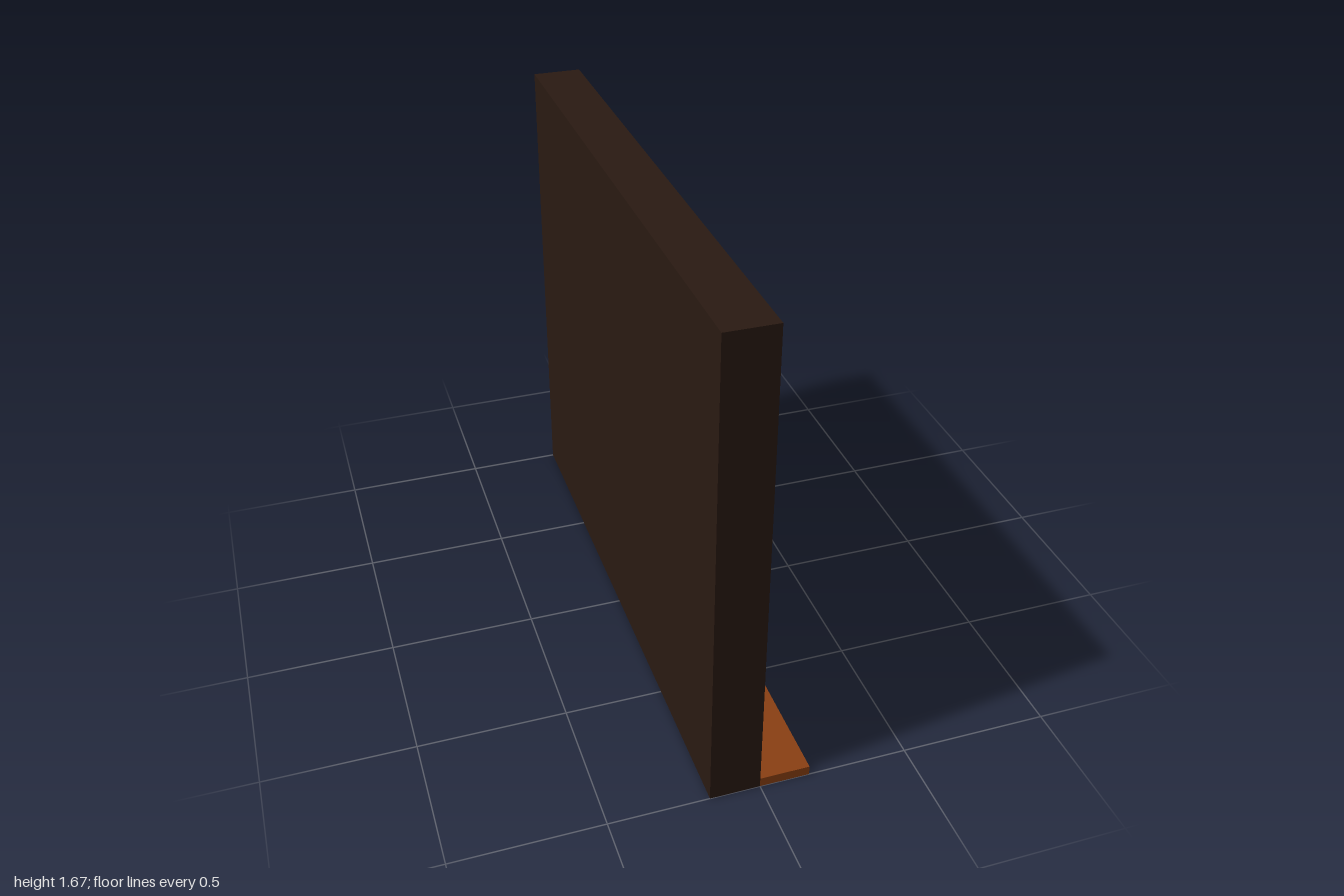
import * as THREE from 'three';

const mat = (color) => new THREE.MeshStandardMaterial({ color });

// rectangle corners in the wall plane, u = -z
const corners = (u0, u1, y0, y1) => [[u0, y0], [u1, y0], [u1, y1], [u0, y1]].map(([u, y]) => new THREE.Vector2(u, y));

// rectangular plate with a rectangular hole, running from x0 to x1
function ring(name, outer, inner, x0, x1, material) {
  const shape = new THREE.Shape(corners(...outer));
  shape.holes.push(new THREE.Path(corners(...inner).reverse()));
  const geo = new THREE.ExtrudeGeometry(shape, { depth: x1 - x0, bevelEnabled: false });
  geo.translate(0, 0, x0).rotateY(Math.PI / 2);
  const mesh = new THREE.Mesh(geo, material);
  mesh.name = name;
  return mesh;
}

function box(name, x0, x1, y0, y1, z0, z1, material) {
  const mesh = new THREE.Mesh(new THREE.BoxGeometry(x1 - x0, y1 - y0, z1 - z0), material);
  mesh.position.set((x0 + x1) / 2, (y0 + y1) / 2, (z0 + z1) / 2);
  mesh.name = name;
  return mesh;
}

export function createModel() {
  const group = new THREE.Group();
  group.name = 'wallWithWindow';
  const dark = mat(0x2a1a12), wood = mat(0x8b4013), glass = mat(0x1a1a1a);

  const back = -0.167, pane = -0.134, top = 1.667;
  const frame = [-0.417, 0.422, 0.35, 1.317];
  const opening = [-0.337, 0.337, 0.417, 1.255];

  group.add(
    // wall: solid back panel and a front layer cut out for the window
    box('wallBack', back, pane - 0.004, 0, top, -1, 1, dark),
    ring('wallFront', [-1, 1, 0, top], frame, pane - 0.004, 0, dark),
    // frame lines the recess and stands proud of the wall
    ring('windowFrame', frame, opening, pane - 0.004, 0.037, wood),
    box('windowPane', pane - 0.004, pane, opening[2], opening[3], -0.337, 0.337, glass),
    // strip along the foot of the wall
    box('baseLedge', 0, 0.167, 0, 0.033, -1, 1, wood),
  );
  return group;
}
